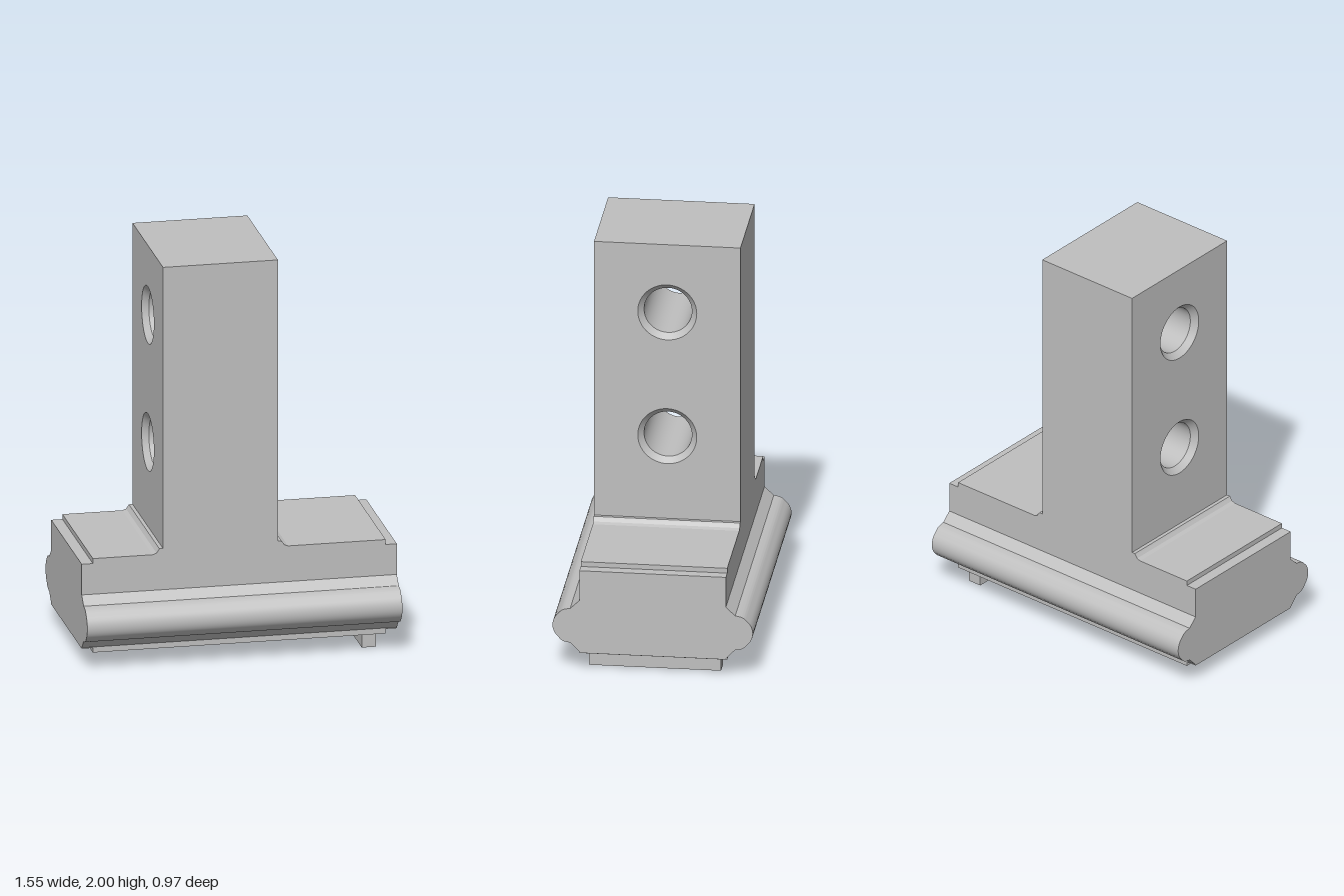
import * as THREE from 'three';
import { mergeVertices, toCreasedNormals } from 'three/addons/utils/BufferGeometryUtils.js';

const D = 0.355;                       // half depth of body and post
const X0 = -0.375, X1 = 0.19;          // post sides
const HALF = 0.775;                    // half length of the base
const HOLES = [1.005, 1.648];

export function createModel() {
  const model = new THREE.Group();
  const steel = new THREE.MeshStandardMaterial({ color: 0xbfbfbf });
  steel.name = 'light grey';

  const add = (name, geometry, parent = model) => {
    const mesh = new THREE.Mesh(geometry, steel);
    mesh.name = name;
    parent.add(mesh);
    return mesh;
  };
  const shapeOf = (pts) => new THREE.Shape(pts.map(([x, y]) => new THREE.Vector2(x, y)));

  // Walls running front to back along a counterclockwise outline
  const walls = (pts) => {
    const pos = [];
    for (let i = 0; i < pts.length - 1; i++) {
      const [ax, ay] = pts[i], [bx, by] = pts[i + 1];
      pos.push(ax, ay, D, ax, ay, -D, bx, by, -D, ax, ay, D, bx, by, -D, bx, by, D);
    }
    const g = new THREE.BufferGeometry();
    g.setAttribute('position', new THREE.Float32BufferAttribute(pos, 3));
    g.computeVertexNormals();
    return g;
  };

  // Outline of base and post, from the post's left foot clockwise seen from behind
  const leftFoot = [[0.24, 0.55], [0.222, 0.557], [0.213, 0.57], [0.208, 0.578], [X1, 0.578]];
  const rightFoot = [[X0, 0.578], [-0.393, 0.578], [-0.398, 0.57], [-0.407, 0.557], [-0.425, 0.55]];
  const base = [
    ...rightFoot,
    [-0.72, 0.55], [-0.72, 0.525], [-HALF, 0.525], [-HALF, 0.098], [-0.72, 0.098], [-0.72, 0.075],
    [0.72, 0.075], [0.72, 0.098], [HALF, 0.098], [HALF, 0.525], [0.72, 0.525], [0.72, 0.55],
    ...leftFoot,
  ];
  const top = [[X1, 2], [X0, 2]];
  add('baseWalls', walls(base));
  add('postTop', walls(top));
  const face = shapeOf([...base, ...top]);
  add('frontFace', new THREE.ShapeGeometry(face).translate(0, 0, D));
  add('backFace', new THREE.ShapeGeometry(face).rotateY(Math.PI).scale(1, 1, 1)
    .applyMatrix4(new THREE.Matrix4()).translate(0, 0, -D)).visible = true;
  // The outline is not symmetric, so the back is the mirrored shape turned round
  const mirrored = shapeOf([...base, ...top].map(([x, y]) => [-x, y]));
  model.getObjectByName('backFace').geometry =
    new THREE.ShapeGeometry(mirrored).rotateY(Math.PI).translate(0, 0, -D);

  // Post sides, pierced by two countersunk holes
  const R = 0.143, r = 0.116, sink = 0.03;
  const side = shapeOf([[-D, 0.578], [D, 0.578], [D, 2], [-D, 2]]);
  for (const y of HOLES) side.holes.push(new THREE.Path().absarc(0, y, R, 0, Math.PI * 2, true));
  add('postLeftSide', new THREE.ShapeGeometry(side, 32).rotateY(Math.PI / 2).translate(X1, 0, 0));
  add('postRightSide', new THREE.ShapeGeometry(side, 32).rotateY(-Math.PI / 2).translate(X0, 0, 0));

  const bore = (a, b) => new THREE.LatheGeometry(
    [new THREE.Vector2(...a), new THREE.Vector2(...b)], 64).rotateZ(-Math.PI / 2);
  HOLES.forEach((y, i) => {
    const hole = new THREE.Group();
    hole.name = i ? 'upperHole' : 'lowerHole';
    hole.position.y = y;
    add('leftCountersink', bore([R, X1], [r, X1 - sink]), hole);
    add('bore', bore([r, X1 - sink], [r, X0 + sink]), hole);
    add('rightCountersink', bore([r, X0 + sink], [R, X0]), hole);
    model.add(hole);
  });

  // Rounded rails along the front and back of the base
  const rail = shapeOf([[D, 0.103], [0.4, 0.15]]);
  rail.bezierCurveTo(0.44, 0.153, 0.444, 0.162, 0.46, 0.18);
  rail.bezierCurveTo(0.494, 0.21, 0.494, 0.267, 0.46, 0.297);
  rail.bezierCurveTo(0.444, 0.315, 0.44, 0.322, 0.4, 0.327);
  rail.lineTo(D, 0.37);
  const railGeometry = toCreasedNormals(
    new THREE.ExtrudeGeometry(rail, { depth: 2 * HALF, bevelEnabled: false, curveSegments: 10 })
      .translate(0, 0, -HALF).rotateY(-Math.PI / 2), 0.5);
  add('frontRail', railGeometry);
  add('backRail', railGeometry).rotation.y = Math.PI;

  // Small locating bar underneath
  add('bottomBar', new THREE.BoxGeometry(0.07, 0.075, 0.64).translate(0.645, 0.0375, 0));

  return model;
}
